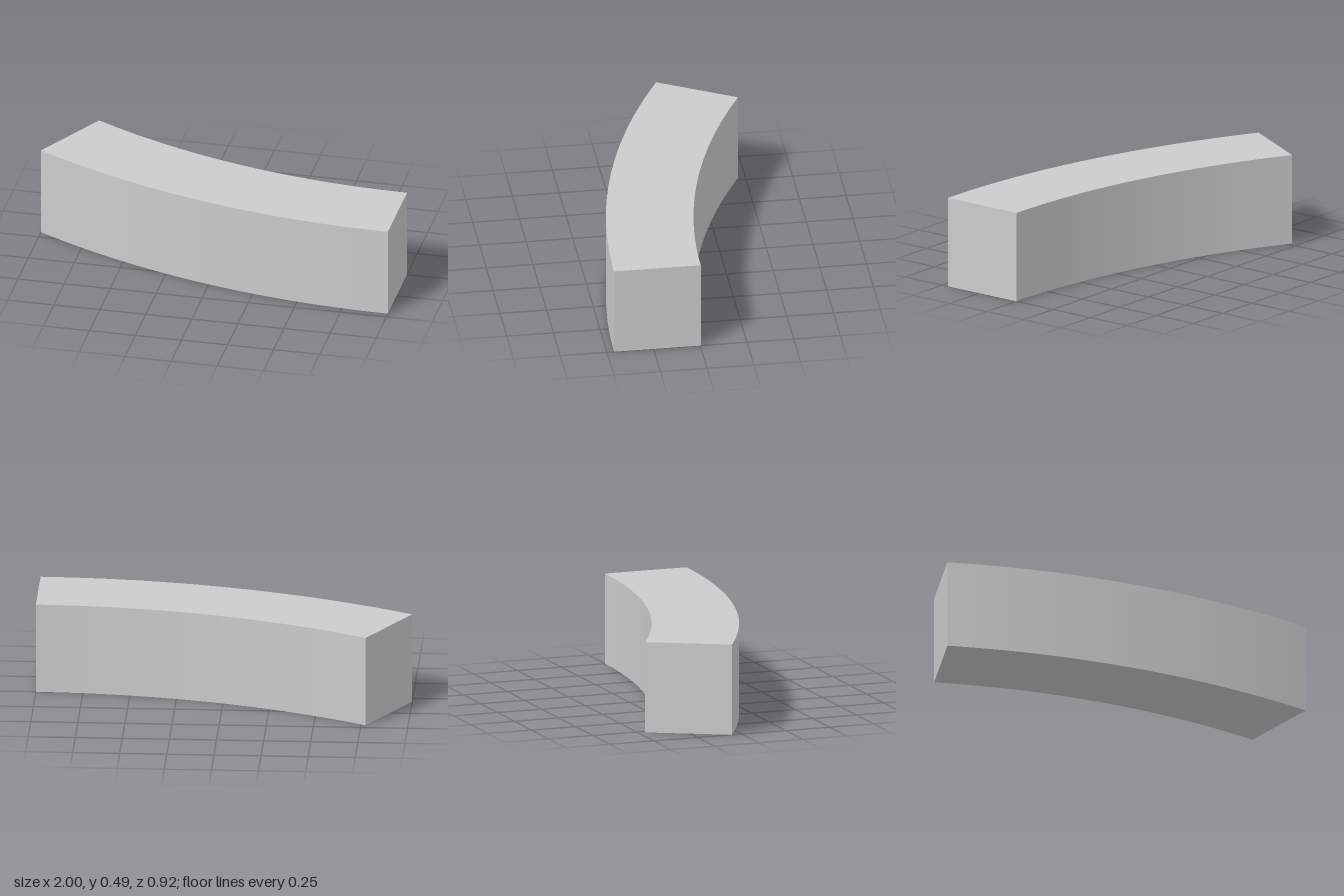
import * as THREE from 'three';

export function createModel() {
  const group = new THREE.Group();
  group.name = 'curvedBlock';

  // Plan of the block: a 29 degree slice of a ring, square-cut at both ends
  const sweep = THREE.MathUtils.degToRad(29);
  const outer = 2 / Math.sin(sweep);
  const inner = outer - 0.464;
  const depth = outer - inner * Math.cos(sweep);
  const centre = outer - depth / 2;
  const start = -Math.PI / 2;

  const plan = new THREE.Shape();
  plan.absarc(1, centre, outer, start, start - sweep, true);
  plan.absarc(1, centre, inner, start - sweep, start, false);
  plan.closePath();

  // Raise the plan to full height, standing on the ground
  const geometry = new THREE.ExtrudeGeometry(plan, {
    depth: 0.488,
    bevelEnabled: false,
    curveSegments: 32,
  });
  geometry.rotateX(-Math.PI / 2);

  const block = new THREE.Mesh(
    geometry,
    new THREE.MeshStandardMaterial({ color: 0xcccccc })
  );
  block.name = 'arcSegment';
  group.add(block);
  return group;
}
